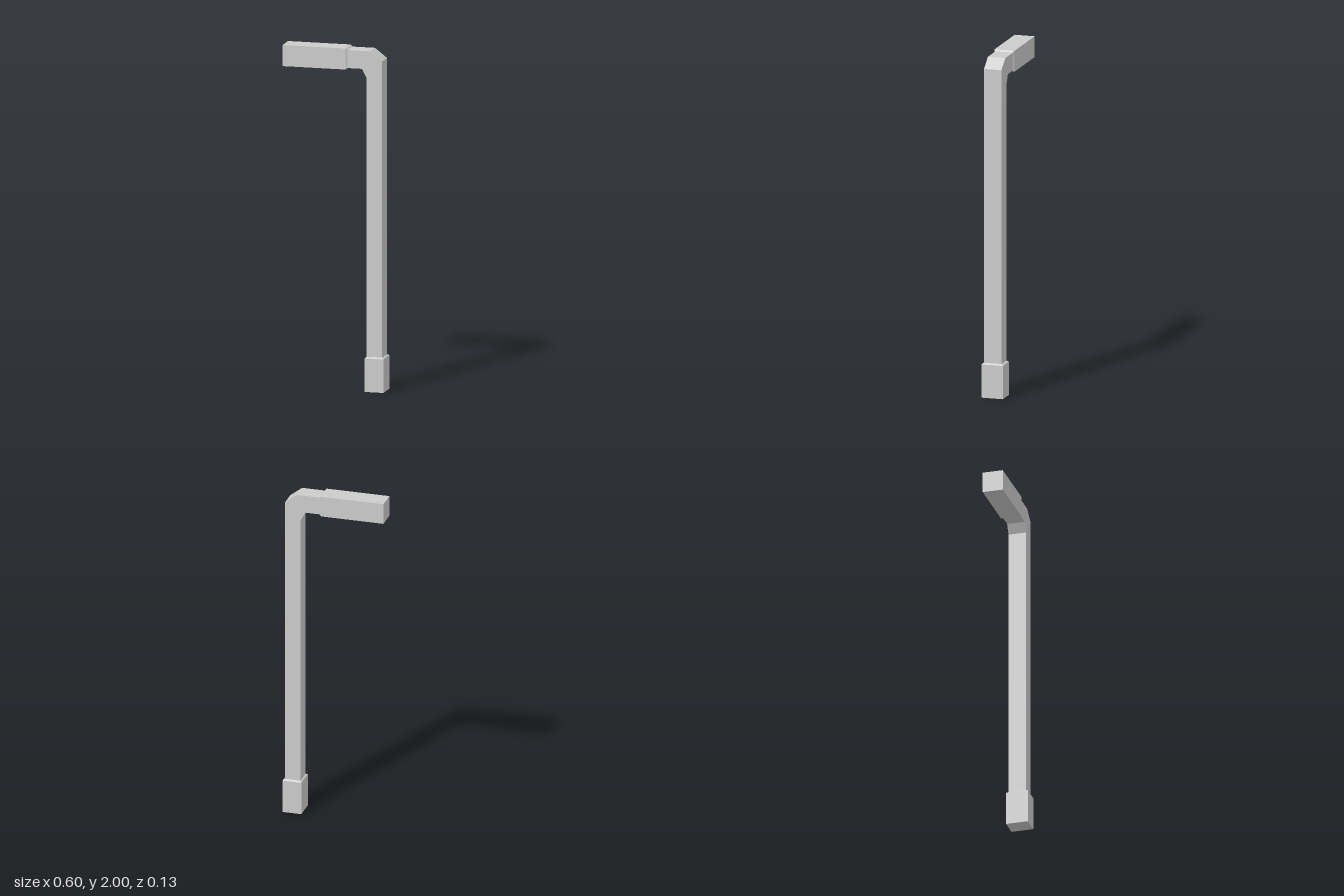
import * as THREE from 'three';

const material = new THREE.MeshStandardMaterial({ color: 0xcccccc, flatShading: true });

// Square block along +y from 0 to length, whose last stretch tapers to a smaller end.
function taperedBlock(name, width, depth, length, bevel, endWidth, endDepth) {
  const geometry = new THREE.BoxGeometry(width, length, depth, 1, 2, 1);
  geometry.translate(0, length / 2, 0);
  const p = geometry.attributes.position;
  for (let i = 0; i < p.count; i++) {
    const y = p.getY(i);
    if (y > length * 0.75) {
      p.setX(i, Math.sign(p.getX(i)) * endWidth / 2);
      p.setZ(i, Math.sign(p.getZ(i)) * endDepth / 2);
    } else if (y > length * 0.25) {
      p.setY(i, length - bevel);
    }
  }
  geometry.computeVertexNormals();
  const mesh = new THREE.Mesh(geometry, material);
  mesh.name = name;
  return mesh;
}

export function createModel() {
  const group = new THREE.Group();
  group.name = 'walkingCane';
  const depth = 0.105;

  // Shaft, chamfered elbow and arm as one bent bar
  const outline = new THREE.Shape([
    [0.197, 0.19], [0.289, 0.19], [0.289, 1.935], [0.218, 1.99],
    [0.06, 1.99], [0.06, 1.885], [0.168, 1.885], [0.197, 1.83],
  ].map(([x, y]) => new THREE.Vector2(x, y)));
  const barGeometry = new THREE.ExtrudeGeometry(outline, { depth, bevelEnabled: false });
  barGeometry.translate(0, 0, -depth / 2);
  const bar = new THREE.Mesh(barGeometry, material);
  bar.name = 'bentShaft';
  group.add(bar);

  // Foot cap
  const foot = taperedBlock('footCap', 0.112, 0.13, 0.204, 0.008, 0.092, depth);
  foot.position.x = 0.244;
  group.add(foot);

  // Hand grip, lying along x with its taper towards the elbow
  const grip = taperedBlock('handGrip', 0.123, 0.12, 0.384, 0.01, 0.105, depth);
  grip.rotation.z = -Math.PI / 2;
  grip.position.set(-0.301, 1.9385, 0);
  group.add(grip);

  return group;
}
